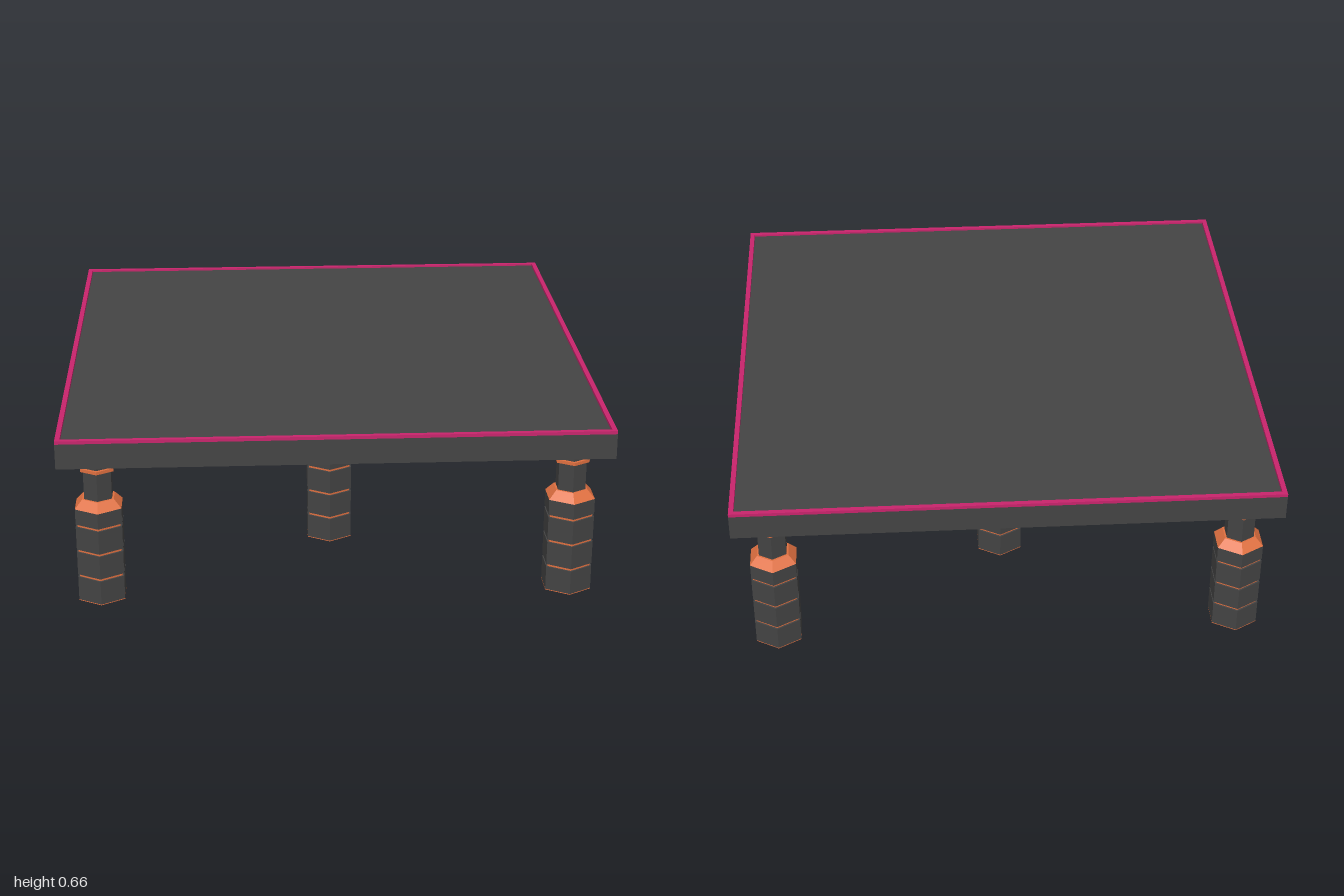
import * as THREE from 'three';

const material = (color) => new THREE.MeshStandardMaterial({ color, flatShading: true });
const dark = material(0x444444);
const orange = material(0xe07040);
const pink = material(0xc8246c);

function add(parent, name, geometry, mat, x = 0, y = 0, z = 0) {
  const mesh = new THREE.Mesh(geometry, mat);
  mesh.name = name;
  mesh.position.set(x, y, z);
  parent.add(mesh);
  return mesh;
}

// Six-sided drum between two heights, with corners pointing along z
function hexDrum(parent, name, mat, y0, y1, r0, r1 = r0) {
  add(parent, name, new THREE.CylinderGeometry(r1, r0, y1 - y0, 6), mat, 0, (y0 + y1) / 2, 0);
}

// Square ring lying flat, from y0 to y1
function squareFrame(parent, name, mat, outer, inner, y0, y1) {
  const square = (Kind, h) => new Kind([[-h, -h], [h, -h], [h, h], [-h, h]].map(([x, y]) => new THREE.Vector2(x, y)));
  const shape = square(THREE.Shape, outer);
  shape.holes.push(square(THREE.Path, inner));
  const geometry = new THREE.ExtrudeGeometry(shape, { depth: y1 - y0, bevelEnabled: false });
  geometry.rotateX(-Math.PI / 2);
  add(parent, name, geometry, mat, 0, y0, 0);
}

function createLeg() {
  const leg = new THREE.Group();
  leg.name = 'leg';
  const R = 0.097;

  // Orange foot plate and the core seen in the grooves
  hexDrum(leg, 'footPlate', orange, 0, 0.003, R);
  hexDrum(leg, 'core', orange, 0.003, 0.36, 0.09);

  // Stacked dark segments
  for (const [y0, y1] of [[0.003, 0.095], [0.105, 0.195], [0.205, 0.295], [0.305, 0.365]]) {
    hexDrum(leg, 'segment', dark, y0, y1, R);
  }

  // Sloped shoulder, neck and collar
  hexDrum(leg, 'shoulder', orange, 0.365, 0.397, R, 0.066);
  hexDrum(leg, 'neck', dark, 0.39, 0.625, 0.058);
  hexDrum(leg, 'collar', orange, 0.506, 0.518, 0.069);
  return leg;
}

export function createModel() {
  const table = new THREE.Group();
  table.name = 'table';

  // Top: apron open below, panel set inside, bright trim around the edge
  squareFrame(table, 'apron', dark, 1, 0.98, 0.557, 0.652);
  add(table, 'topPanel', new THREE.BoxGeometry(1.96, 0.037, 1.96), dark, 0, 0.6385, 0);
  squareFrame(table, 'edgeTrim', pink, 1, 0.982, 0.652, 0.664);

  // Four corner legs and two in the middle
  const spots = [];
  for (const s of [-1, 1]) {
    spots.push([-0.862, s * 0.873], [0, s * 0.373], [0.862, s * 0.873]);
  }
  for (const [x, z] of spots) {
    const leg = createLeg();
    leg.position.set(x, 0, z);
    table.add(leg);
  }
  return table;
}
